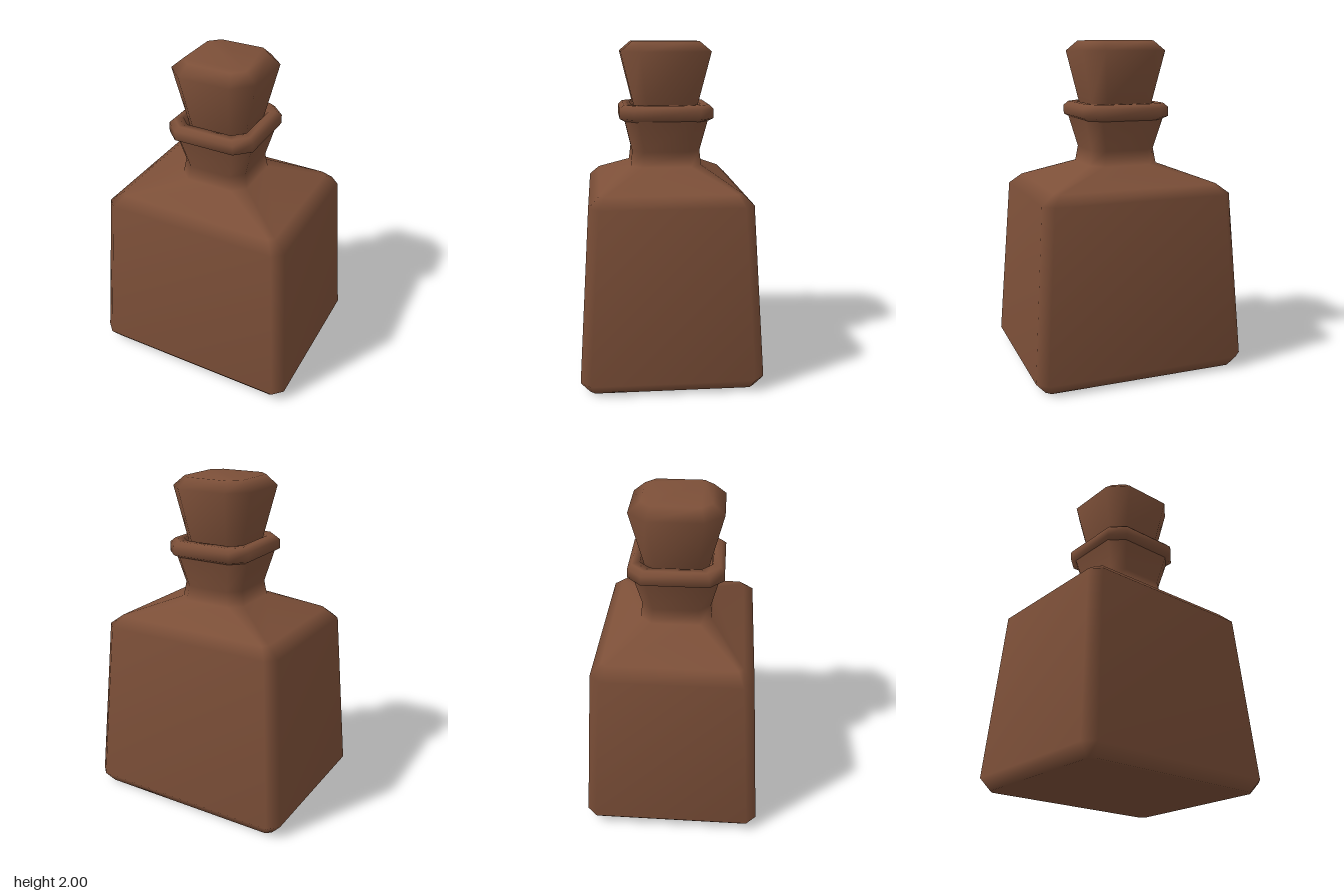
import * as THREE from 'three';

// Octagonal (chamfered rectangle) ring: [y, halfX, halfZ, corner chamfer]
function ring([y, hx, hz, c]) {
  return [
    [hx, hz - c], [hx - c, hz], [-hx + c, hz], [-hx, hz - c],
    [-hx, -hz + c], [-hx + c, -hz], [hx - c, -hz], [hx, -hz + c],
  ].map(([x, z]) => [x, y, z]);
}

// Smooth skin over rings listed from bottom to top (outside first for closed loops)
function loft(sections, { capBottom = false, capTop = false, closed = false } = {}) {
  const positions = sections.flatMap(ring).flat();
  const index = [];
  const n = 8, rows = sections.length;
  const last = closed ? rows : rows - 1;
  for (let r = 0; r < last; r++) {
    const a = r * n, b = ((r + 1) % rows) * n;
    for (let i = 0; i < n; i++) {
      const j = (i + 1) % n;
      index.push(a + i, b + i, a + j, a + j, b + i, b + j);
    }
  }
  for (let i = 1; i < n - 1; i++) {
    const t = (rows - 1) * n;
    if (capBottom) index.push(0, i, i + 1);
    if (capTop) index.push(t, t + i + 1, t + i);
  }
  const geometry = new THREE.BufferGeometry();
  geometry.setAttribute('position', new THREE.Float32BufferAttribute(positions, 3));
  geometry.setIndex(index);
  geometry.computeVertexNormals();
  return geometry;
}

export function createModel() {
  const brown = new THREE.MeshStandardMaterial({ color: 0x7c4f38, side: THREE.DoubleSide });
  brown.name = 'brown';
  const group = new THREE.Group();
  group.name = 'bottle';
  const add = (name, geometry) => {
    const mesh = new THREE.Mesh(geometry, brown);
    mesh.name = name;
    group.add(mesh);
  };

  // Tapered body, sloping shoulders and flared neck
  add('body', loft([
    [0, 0.6, 0.485, 0.03],
    [0.07, 0.66, 0.537, 0.06],
    [1.09, 0.588, 0.472, 0.06],
    [1.15, 0.51, 0.41, 0.03],
    [1.26, 0.215, 0.215, 0.07],
    [1.35, 0.2, 0.205, 0.07],
    [1.54, 0.25, 0.25, 0.08],
  ], { capBottom: true }));

  // Rim around the mouth, a closed ring
  add('collar', loft([
    [1.53, 0.2, 0.2, 0.06],
    [1.53, 0.235, 0.245, 0.07],
    [1.55, 0.272, 0.28, 0.085],
    [1.605, 0.272, 0.28, 0.085],
    [1.63, 0.245, 0.255, 0.075],
    [1.63, 0.205, 0.21, 0.065],
  ], { closed: true }));

  // Stopper, wider at the top
  add('stopper', loft([
    [1.48, 0.165, 0.165, 0.06],
    [1.63, 0.195, 0.195, 0.075],
    [1.94, 0.264, 0.27, 0.11],
    [2.0, 0.195, 0.2, 0.06],
  ], { capBottom: true, capTop: true }));

  return group;
}
